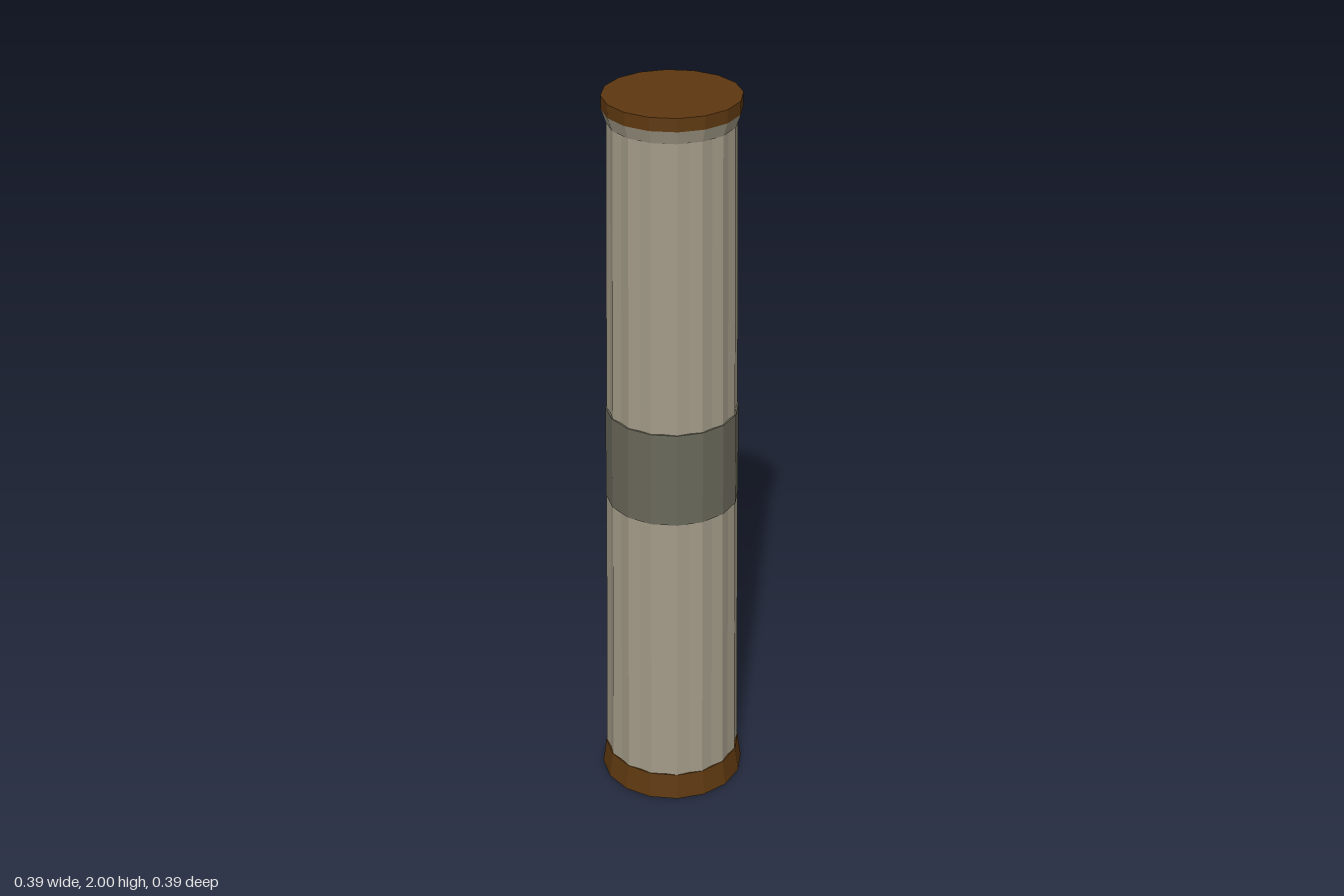
import * as THREE from 'three';

const SIDES = 16;

// Faceted tapered drum from y0 to y1; valley < 1 pulls every second edge in to make flutes.
function drum(name, material, y0, y1, r0, r1, valley = 1, open = false) {
  const count = valley < 1 ? SIDES * 2 : SIDES;
  let geometry = new THREE.CylinderGeometry(r1, r0, y1 - y0, count, 1, open);
  const p = geometry.attributes.position;
  if (valley < 1) {
    for (let i = 0; i < p.count; i++) {
      const step = Math.round(Math.atan2(p.getX(i), p.getZ(i)) / (Math.PI / SIDES));
      if (step % 2 !== 0) p.setXYZ(i, p.getX(i) * valley, p.getY(i), p.getZ(i) * valley);
    }
  }
  geometry = geometry.toNonIndexed();
  geometry.computeVertexNormals();
  const mesh = new THREE.Mesh(geometry, material);
  mesh.name = name;
  mesh.position.y = (y0 + y1) / 2;
  return mesh;
}

export function createModel() {
  const stone = new THREE.MeshStandardMaterial({ color: 0xa39b88 });
  const darkStone = new THREE.MeshStandardMaterial({ color: 0x6a685a });
  const bronze = new THREE.MeshStandardMaterial({ color: 0x5e3810 });
  stone.name = 'stone';
  darkStone.name = 'dark stone';
  bronze.name = 'bronze';

  const column = new THREE.Group();
  column.name = 'column';
  column.add(
    // flared foot
    drum('base', bronze, 0, 0.073, 0.197, 0.187),
    // fluted shaft, slightly tapered
    drum('shaft', stone, 0.07, 1.94, 0.186, 0.164, 0.965),
    // plain band round the middle
    drum('band', darkStone, 0.872, 1.137, 0.178, 0.176),
    // neck flaring out to the lid
    drum('neck', stone, 1.93, 1.965, 0.165, 0.177),
    drum('lid', bronze, 1.965, 2, 0.177, 0.177)
  );
  return column;
}
